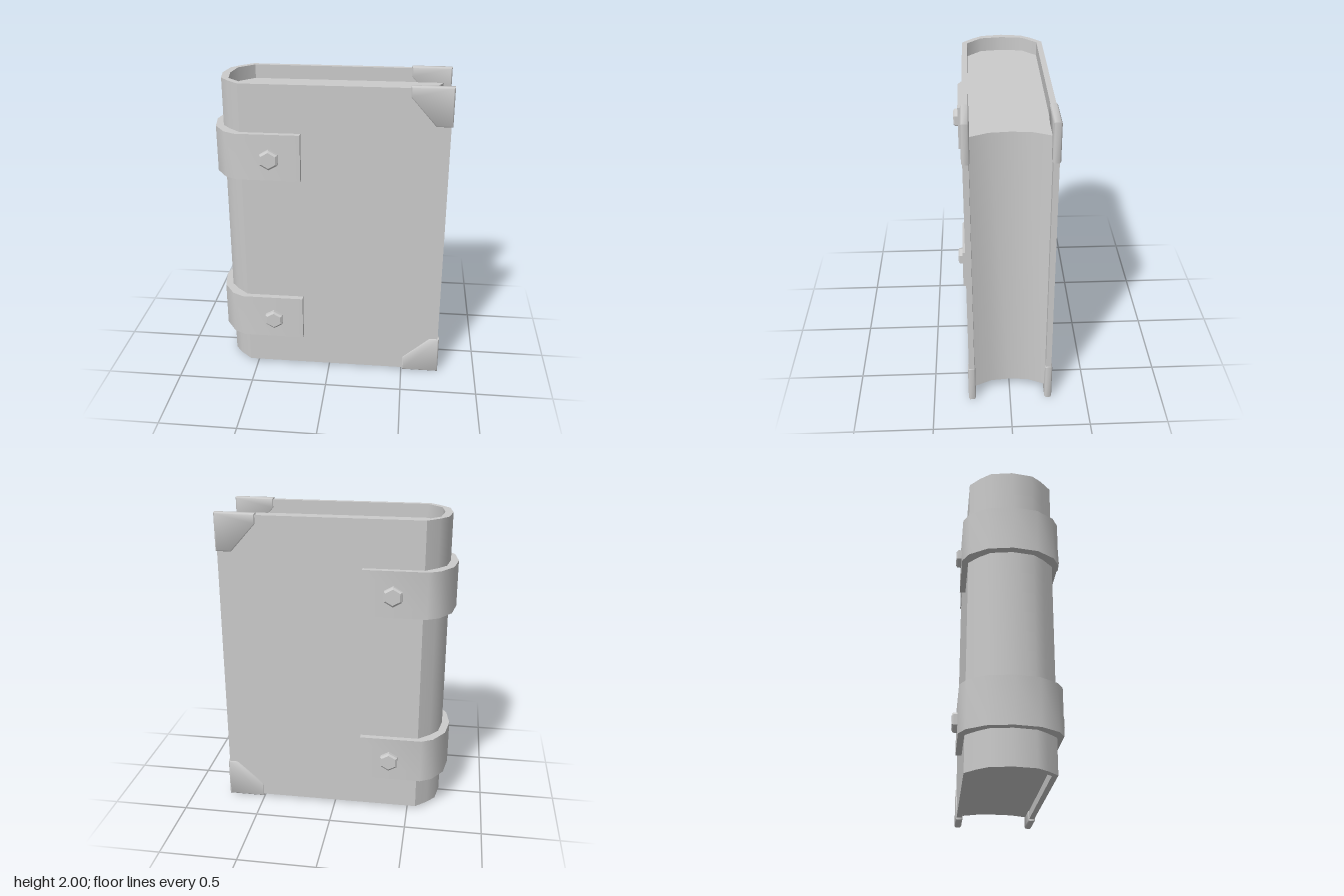
import * as THREE from 'three';
import { toCreasedNormals } from 'three/addons/utils/BufferGeometryUtils.js';

const material = new THREE.MeshStandardMaterial({ color: 0xcccccc });

// Half profiles [x, z] running from the fore-edge side round to the middle of the spine
const BAND_OUTER = [[-0.175, 0.305], [-0.58, 0.305], [-0.655, 0.265], [-0.73, 0.155], [-0.755, 0]];
const COVER_OUTER = [[0.74, 0.267], [-0.555, 0.267], [-0.63, 0.2], [-0.683, 0.135], [-0.705, 0]];
const COVER_INNER = [[0.74, 0.232], [-0.54, 0.232], [-0.635, 0.14], [-0.655, 0]];
const FORE_EDGE = [[0.64, 0], [0.65, 0.12], [0.7, 0.231]];

// Complete a half profile with its mirror image across z = 0
const mirrored = (half) => [...half, ...half.slice(0, -1).reverse().map(([x, z]) => [x, -z])];

function mesh(name, geometry, crease = 0.7) {
  const m = new THREE.Mesh(toCreasedNormals(geometry, crease), material);
  m.name = name;
  return m;
}

// Extrude a plan outline upwards from y0 to y1
function upright(name, points, y0, y1) {
  const shape = new THREE.Shape(points.map(([x, z]) => new THREE.Vector2(x, -z)));
  const geo = new THREE.ExtrudeGeometry(shape, { depth: y1 - y0, bevelEnabled: false });
  geo.rotateX(-Math.PI / 2).translate(0, y0, 0);
  return mesh(name, geo);
}

// Metal corner plate with a small bevel, lying over one cover board
function cornerPlate(points, side) {
  const bevel = 0.008;
  const shape = new THREE.Shape(points.map(([x, y]) => new THREE.Vector2(x, y)));
  const geo = new THREE.ExtrudeGeometry(shape, {
    depth: 0.047 - 2 * bevel, bevelEnabled: true, bevelSegments: 1,
    bevelSize: bevel, bevelThickness: bevel, bevelOffset: -bevel,
  });
  geo.translate(0, 0, side * 0.25 - (0.047 - 2 * bevel) / 2);
  return mesh('cornerPlate', geo, 0.9);
}

// Six-sided stud with a chamfered head
function stud(y, side) {
  const profile = [[0, 0], [0.065, 0], [0.065, 0.033], [0.052, 0.043], [0, 0.043]];
  const geo = new THREE.LatheGeometry(profile.map(([r, h]) => new THREE.Vector2(r, h)), 6);
  geo.rotateX(side * Math.PI / 2);
  const m = mesh('stud', geo, 0.5);
  m.position.set(-0.37, y, side * 0.295);
  return m;
}

export function createModel() {
  const book = new THREE.Group();
  book.name = 'book';

  // Wrap-round cover with a rounded spine
  book.add(upright('cover', [...mirrored(COVER_OUTER), ...mirrored(COVER_INNER).reverse()], 0.015, 1.99));

  // Page block, recessed at top and bottom, with a hollow fore-edge
  const pageSpine = COVER_INNER.slice(1);
  const pages = [...mirrored(pageSpine), ...mirrored(FORE_EDGE.slice().reverse()).reverse()];
  book.add(upright('pages', pages, 0.07, 1.9));

  // Two straps round the spine, each with a stud on both sides
  const bandInner = [[-0.175, 0.262], ...COVER_OUTER.slice(1).map(([x, z]) => [x + 0.005, z - 0.005])];
  for (const y of [0.388, 1.535]) {
    const clasp = new THREE.Group();
    clasp.name = 'spineStrap';
    clasp.add(upright('strap', [...mirrored(BAND_OUTER), ...mirrored(bandInner).reverse()], y - 0.15, y + 0.15));
    for (const side of [-1, 1]) clasp.add(stud(y - 0.008, side));
    book.add(clasp);
  }

  // Corner plates on the fore-edge corners of both boards
  const topCorner = [[0.75, 2], [0.49, 2], [0.49, 1.935], [0.65, 1.755], [0.75, 1.755]];
  const bottomCorner = [[0.505, 0], [0.75, 0], [0.75, 0.26], [0.685, 0.26], [0.505, 0.1]];
  for (const side of [-1, 1]) {
    book.add(cornerPlate(topCorner, side), cornerPlate(bottomCorner, side));
  }
  return book;
}
